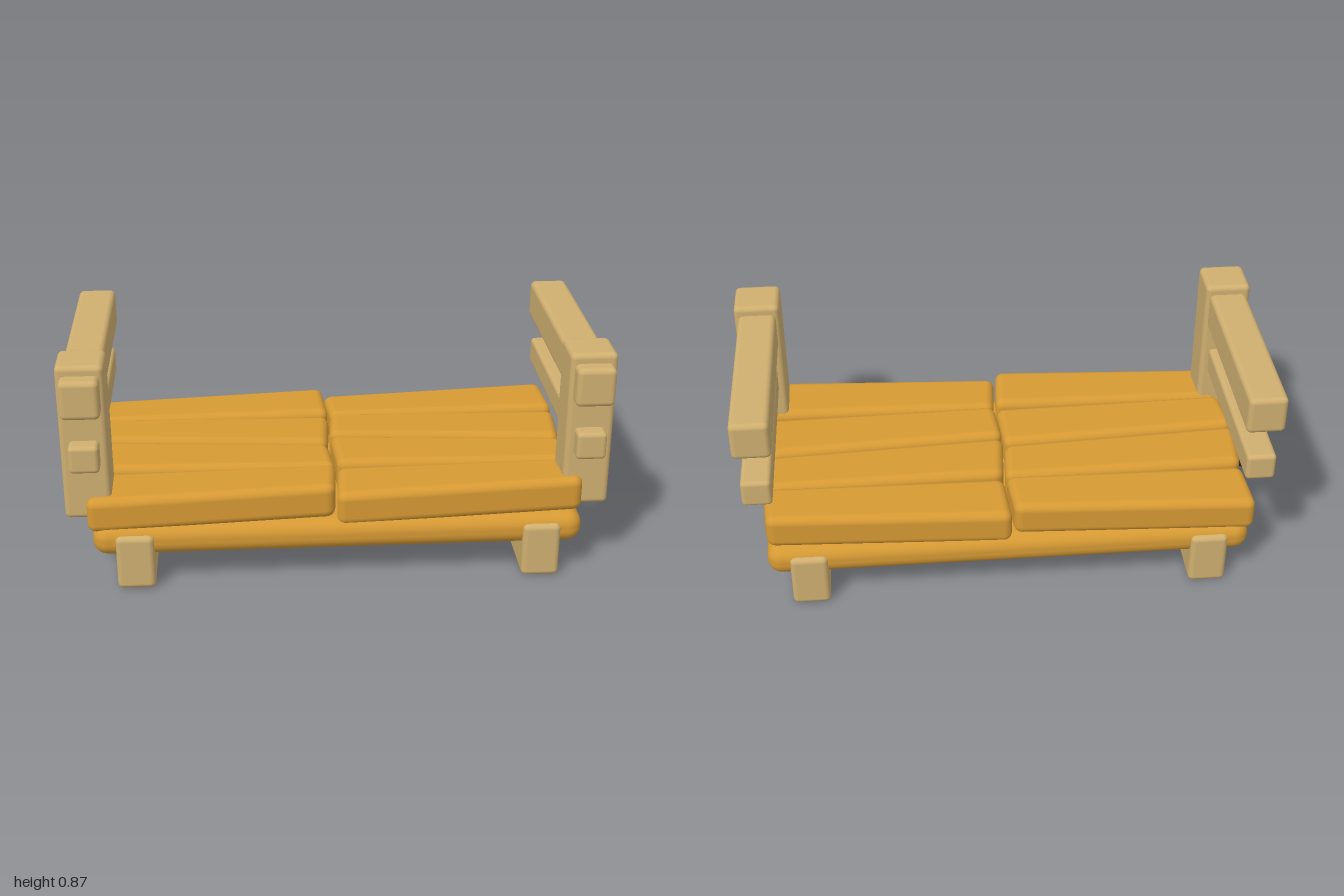
import * as THREE from 'three';
import { RoundedBoxGeometry } from 'three/addons/geometries/RoundedBoxGeometry.js';

const paleWood = new THREE.MeshStandardMaterial({ name: 'paleWood', color: 0xcfaf70 });
const orangeWood = new THREE.MeshStandardMaterial({ name: 'orangeWood', color: 0xd69a34 });
const darkKnob = new THREE.MeshStandardMaterial({ name: 'darkKnob', color: 0x35291f });

// Rounded block given by its extents on each axis
function block(name, material, [x0, x1], [y0, y1], [z0, z1], radius) {
  const geometry = new RoundedBoxGeometry(x1 - x0, y1 - y0, z1 - z0, 3, radius);
  const mesh = new THREE.Mesh(geometry, material);
  mesh.name = name;
  mesh.position.set((x0 + x1) / 2, (y0 + y1) / 2, (z0 + z1) / 2);
  return mesh;
}

// Slightly warped plank: pitched along x, twisted end to end, ends cut askew
function plank(name, x, z, pitch, twist, skew) {
  const mesh = block(name, orangeWood, [-0.453, 0.453], [-0.067, 0.067], [-0.108, 0.108], 0.032);
  const p = mesh.geometry.attributes.position;
  for (let i = 0; i < p.count; i++) {
    const u = p.getX(i) / 0.453;
    const w = p.getZ(i) / 0.108;
    p.setX(i, p.getX(i) + skew * w);
    p.setY(i, p.getY(i) + pitch * u + twist * u * w);
  }
  mesh.position.set(x, 0.302, z);
  return mesh;
}

export function createModel() {
  const model = new THREE.Group();
  model.name = 'slattedBed';

  // Base slab
  model.add(block('baseSlab', orangeWood, [-0.905, 0.905], [0.122, 0.245], [-0.465, 0.465], 0.055));

  // Eight planks in four rows, mirrored front to back
  const planks = new THREE.Group();
  planks.name = 'planks';
  for (const front of [1, -1]) {
    for (const x of [-0.461, 0.452]) {
      planks.add(plank('outerPlank', x, front * 0.343, 0.012, front * 0.007, -front * 0.008));
      planks.add(plank('innerPlank', x, front * 0.115, -0.012, front * 0.007, front * 0.008));
    }
  }
  model.add(planks);

  // Feet, posts and rails at both ends
  for (const side of [1, -1]) {
    const end = new THREE.Group();
    end.name = side > 0 ? 'leftEnd' : 'rightEnd';
    const span = (a, b) => (side > 0 ? [a, b] : [-b, -a]);
    end.add(
      block('foot', paleWood, span(0.68, 0.82), [0, 0.212], [-0.48, 0.48], 0.02),
      block('post', paleWood, span(0.828, 1), [0.265, 0.865], [0.245, 0.415], 0.02),
      block('upperRail', paleWood, span(0.843, 0.985), [0.683, 0.83], [-0.475, 0.475], 0.02),
      block('lowerRail', paleWood, span(0.858, 0.967), [0.475, 0.58], [-0.475, 0.475], 0.016)
    );
    model.add(end);
  }

  // Round knobs on the right end of the inner planks
  for (const z of [-0.107, 0.107]) {
    const knob = new THREE.Mesh(new THREE.SphereGeometry(0.04, 12, 8), darkKnob);
    knob.name = 'knob';
    knob.position.set(-0.955, 0.296, z);
    model.add(knob);
  }
  return model;
}
